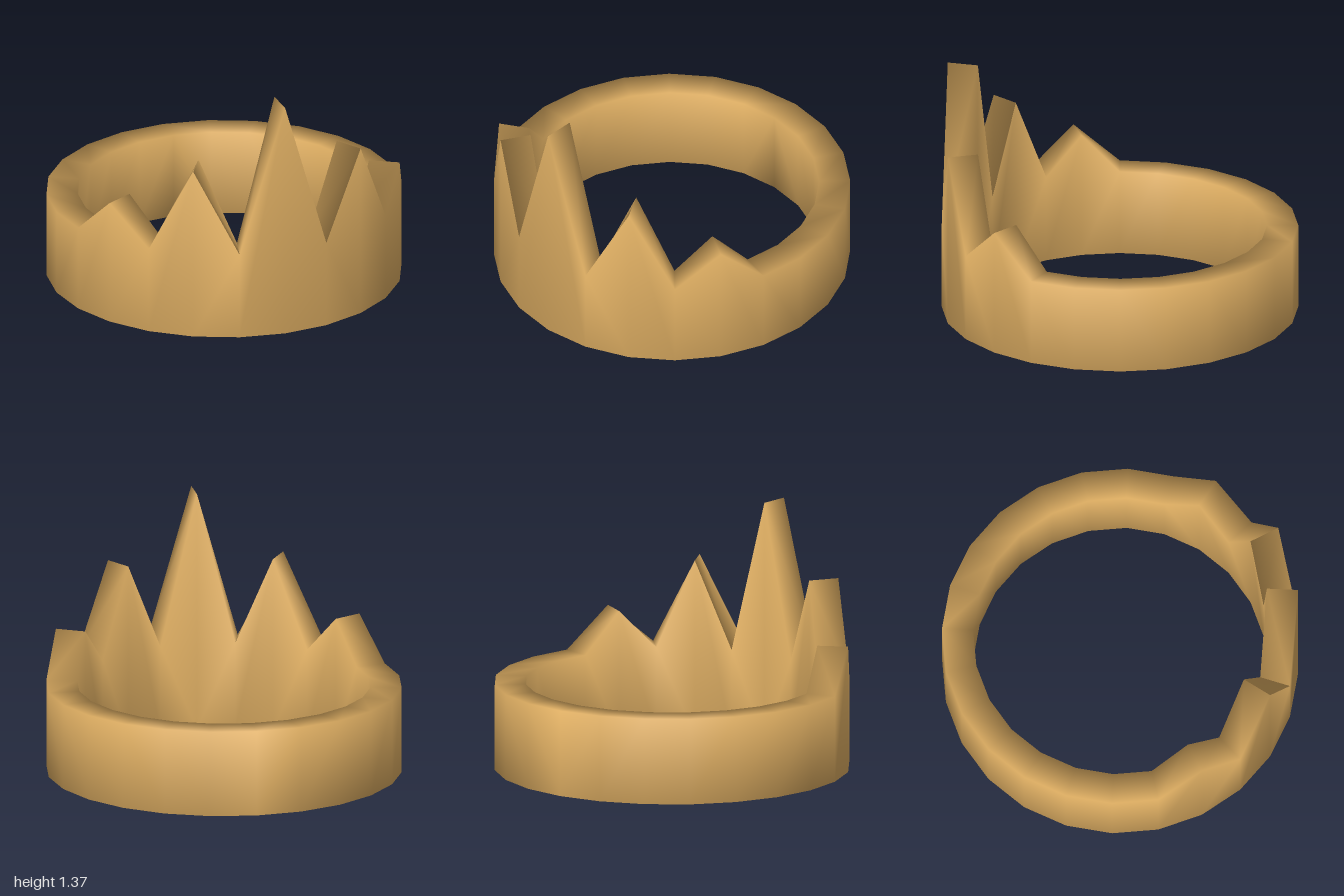
import * as THREE from 'three';

const SEGMENTS = 24;
const OUTER = 1;
const INNER = 0.825;
const BAND = 0.49;
// top height by number of steps away from the front: tall spike, valley, middle spike, valley, low spike
const SPIKES = [1.37, 0.5, 1.0, 0.5, 0.72];

// closed ring with a four-cornered cross-section whose top follows the spikes
function spikedRing() {
  const positions = [];
  const indices = [];
  for (let i = 0; i < SEGMENTS; i++) {
    const a = (i / SEGMENTS) * Math.PI * 2;
    const top = SPIKES[Math.min(i, SEGMENTS - i)] ?? BAND;
    const section = [[OUTER, 0], [OUTER, top], [INNER, top], [INNER, 0]];
    for (const [r, y] of section) positions.push(r * Math.sin(a), y, r * Math.cos(a));

    const next = (i + 1) % SEGMENTS;
    for (let k = 0; k < 4; k++) {
      const k2 = (k + 1) % 4;
      const p = i * 4 + k, q = next * 4 + k, r = next * 4 + k2, s = i * 4 + k2;
      // mirror the split of each quad about the front
      if (i < SEGMENTS / 2) indices.push(p, q, s, q, r, s);
      else indices.push(p, q, r, p, r, s);
    }
  }
  const geometry = new THREE.BufferGeometry();
  geometry.setAttribute('position', new THREE.Float32BufferAttribute(positions, 3));
  geometry.setIndex(indices);
  geometry.computeVertexNormals(); // shared corners give soft shading
  return geometry;
}

export function createModel() {
  const group = new THREE.Group();
  group.name = 'crown';
  const gold = new THREE.MeshStandardMaterial({ color: 0xe2b164 });
  const band = new THREE.Mesh(spikedRing(), gold);
  band.name = 'spikedBand';
  group.add(band);
  return group;
}
